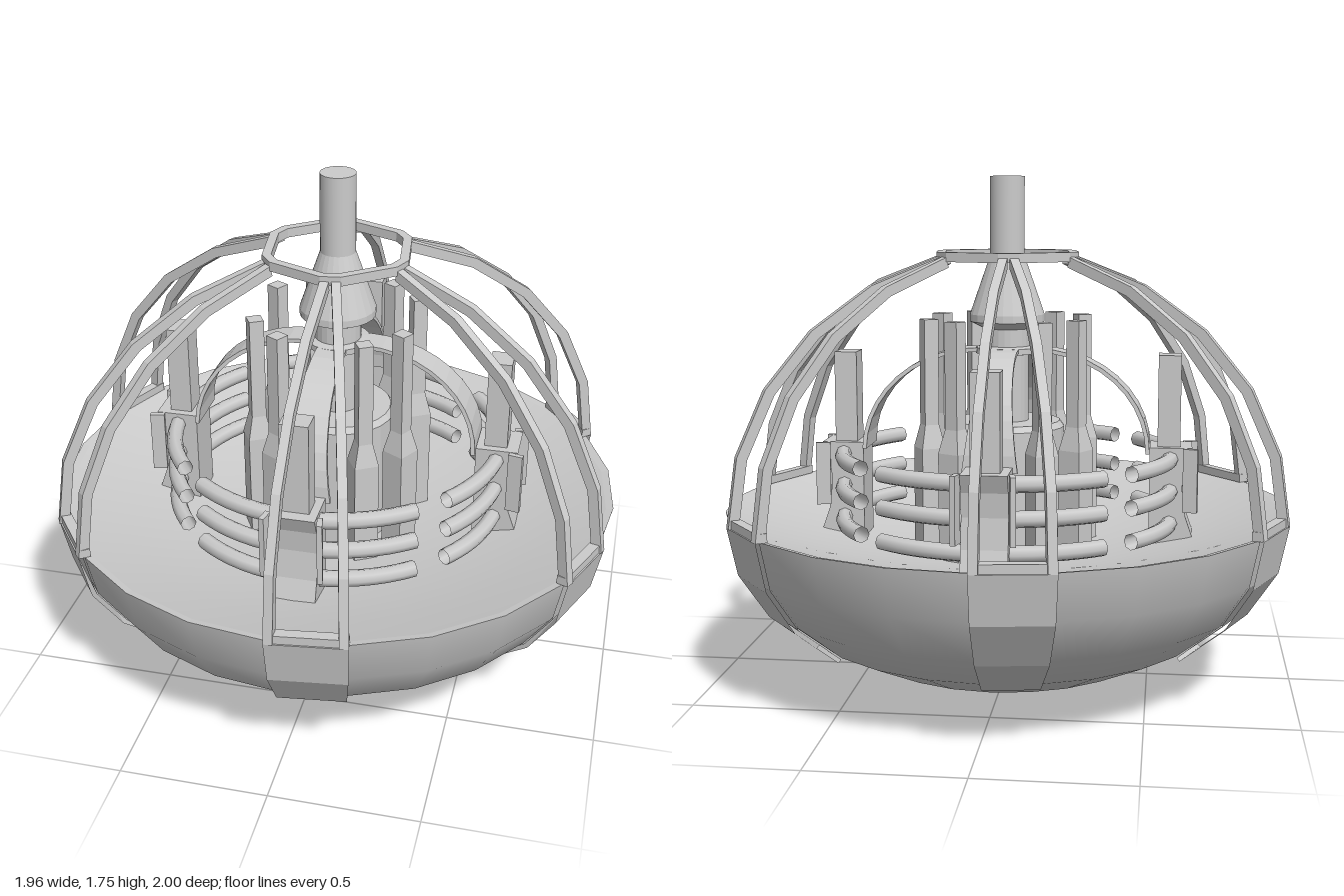
import * as THREE from 'three';

const RAD = Math.PI / 180;
const smooth = new THREE.MeshStandardMaterial({ color: 0xcccccc, side: THREE.DoubleSide });
const flat = new THREE.MeshStandardMaterial({ color: 0xcccccc, side: THREE.DoubleSide, flatShading: true });

function add(parent, name, geometry, material = flat) {
  const mesh = new THREE.Mesh(geometry, material);
  mesh.name = name;
  parent.add(mesh);
  return mesh;
}

const vec2 = (list) => list.map(([x, y]) => new THREE.Vector2(x, y));

// Elliptical profile in (radius, height), from angle a to b in 15 degree steps
function ellipse(radius, height, a, b) {
  const pts = [];
  const step = a < b ? 15 : -15;
  for (let t = a; t !== b + step; t += step) {
    pts.push([Math.max(0, radius * Math.cos(t * RAD)), 0.62 + height * Math.sin(t * RAD)]);
  }
  return pts;
}

// Profile in (radius, height) given a thickness across and turned to an azimuth
function fin(parent, name, profile, thick, azimuth, shift) {
  const geo = new THREE.ExtrudeGeometry(new THREE.Shape(vec2(profile)), { depth: thick, bevelEnabled: false });
  geo.translate(0, 0, shift);
  const mesh = add(parent, name, geo);
  mesh.rotation.y = (azimuth - 90) * RAD;
  return mesh;
}

// Horizontal bar along the chord between two azimuths
function chordBar(parent, name, radius, y, from, to, h, d) {
  const half = ((to - from) / 2) * RAD, mid = ((to + from) / 2) * RAD;
  const bar = add(parent, name, new THREE.BoxGeometry(2 * radius * Math.sin(half), h, d));
  const r = radius * Math.cos(half) - d / 2;
  bar.position.set(r * Math.sin(mid), y, r * Math.cos(mid));
  bar.rotation.y = mid;
}

// Curved plate that runs from the core out and down to a clamp
function archPlate() {
  const n = 10, pos = [], idx = [];
  for (let i = 0; i <= n; i++) {
    const t = (i / n) * Math.PI / 2;
    const w = 0.05 + 0.04 * Math.pow(i / n, 2);
    for (const k of [0, 0.014]) {
      const z = 0.1 + (0.4 - k) * Math.sin(t), y = 0.82 + (0.355 - k) * Math.cos(t);
      pos.push(-w, y, z, w, y, z);
    }
    if (i < n) {
      const ring = [0, 1, 3, 2];
      for (let j = 0; j < 4; j++) {
        const a = i * 4 + ring[j], b = i * 4 + ring[(j + 1) % 4];
        idx.push(a, a + 4, b, b, a + 4, b + 4);
      }
    }
  }
  const geo = new THREE.BufferGeometry();
  geo.setAttribute('position', new THREE.Float32BufferAttribute(pos, 3));
  geo.setIndex(idx);
  geo.computeVertexNormals();
  return geo;
}

export function createModel() {
  const model = new THREE.Group();
  model.name = 'cagedReactor';

  // Bowl with a thin rim and a shallow dish as its floor
  add(model, 'bowl', new THREE.LatheGeometry(vec2(ellipse(0.98, 0.61, -90, 0)), 24), smooth);
  add(model, 'rim', new THREE.LatheGeometry(vec2([[0.98, 0.62], [0.955, 0.615]]), 24), flat);
  const dish = [];
  for (let i = 6; i >= 0; i--) {
    const r = (0.955 * i) / 6;
    dish.push([r, 0.455 + 0.16 * Math.pow(i / 6, 2)]);
  }
  add(model, 'dishFloor', new THREE.LatheGeometry(vec2(dish), 24), smooth);

  // Cage of six wedge frames, each with two rails, cross bars and a plate on the bowl
  const rail = [...ellipse(1, 0.9, 0, 75), ...ellipse(0.965, 0.865, 75, 0)];
  const platePts = [...ellipse(0.985, 0.615, -45, 0), ...ellipse(1.0, 0.63, 0, -45)];
  platePts.push(platePts[0]);
  for (let k = 0; k < 6; k++) {
    const az = k * 60;
    const frame = new THREE.Group();
    frame.name = 'cageFrame';
    model.add(frame);
    fin(frame, 'rail', rail, 0.03, az, -0.03);
    fin(frame, 'rail', rail, 0.03, az + 15, 0);
    chordBar(frame, 'baseBar', 0.995, 0.634, az, az + 15, 0.03, 0.035);
    chordBar(frame, 'topBar', 0.26, 1.49, az, az + 15, 0.032, 0.03);
    chordBar(frame, 'ringBar', 0.26, 1.49, az + 15, az + 60, 0.032, 0.03);
    add(frame, 'bowlPlate', new THREE.LatheGeometry(vec2(platePts), 1, az * RAD, 15 * RAD));
  }

  // Central core, collar and top shaft
  const profiles = {
    coreBase: [[0.2, 0.44], [0.2, 0.9], [0.185, 0.92], [0, 0.92]],
    core: [[0.075, 0.9], [0.075, 1.15], [0.11, 1.155], [0.11, 1.175], [0.08, 1.18], [0.08, 1.24]],
    cone: [[0.08, 1.24], [0.13, 1.265], [0.13, 1.29], [0.06, 1.49]],
    shaft: [[0.06, 1.48], [0.06, 1.76]],
    shaftCap: [[0.06, 1.76], [0, 1.76]],
  };
  for (const [name, pts] of Object.entries(profiles)) {
    add(model, name, new THREE.LatheGeometry(vec2(pts), 24), name === 'shaft' ? smooth : flat);
  }

  // Eight necked posts around the core
  const post = [[0.042, 0.46], [0.042, 0.84], [0.025, 0.92], [0.025, 1.28], [0, 1.28]];
  for (const az of [30, 60, 120, 150, 210, 240, 300, 330]) {
    const geo = new THREE.LatheGeometry(vec2(post.map(([r, y]) => [r * Math.SQRT2, y])), 4);
    geo.rotateY(Math.PI / 4);
    const mesh = add(model, 'post', geo);
    mesh.position.set(0.29 * Math.sin(az * RAD), 0, 0.29 * Math.cos(az * RAD));
    mesh.rotation.y = az * RAD;
  }

  // Four stations: flared clamp, upright block, arch plate and three coolant pipes
  const clamp = [[0.5, 0.49], [0.66, 0.5], [0.625, 0.6], [0.612, 0.7], [0.62, 0.78], [0.645, 0.84], [0.5, 0.84]];
  for (let k = 0; k < 4; k++) {
    const station = new THREE.Group();
    station.name = 'station';
    station.rotation.y = k * 90 * RAD;
    model.add(station);
    fin(station, 'clamp', clamp, 0.15, 0, -0.075);
    for (const side of [-1, 1]) {
      const ear = add(station, 'clampEar', new THREE.BoxGeometry(0.018, 0.22, 0.05));
      ear.position.set(side * 0.09, 0.73, 0.64);
      ear.rotation.y = side * 0.2;
    }
    const block = add(station, 'uprightBlock', new THREE.BoxGeometry(0.095, 0.36, 0.078));
    block.position.set(0, 0.975, 0.565);
    add(station, 'archPlate', archPlate());

    const arc = [];
    for (let a = -39; a <= 39; a += 6.5) {
      arc.push(new THREE.Vector3(0.575 * Math.sin(a * RAD), 0, 0.575 * Math.cos(a * RAD)));
    }
    const pipe = new THREE.TubeGeometry(new THREE.CatmullRomCurve3(arc), 16, 0.028, 8);
    for (const y of [0.8, 0.688, 0.576]) {
      add(station, 'pipe', pipe, smooth).position.y = y;
    }
  }
  return model;
}
